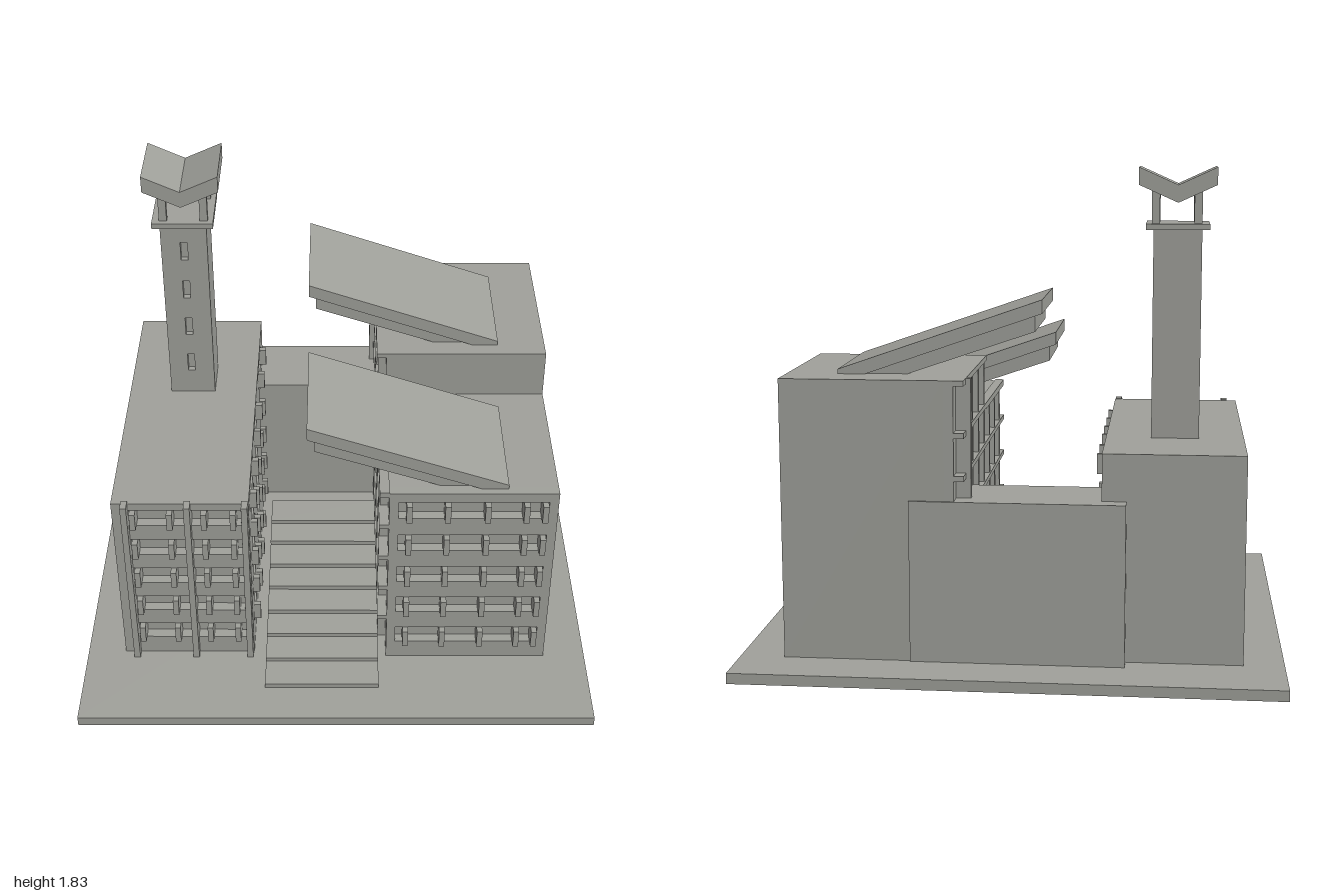
import * as THREE from 'three';

export function createModel() {
  const root = new THREE.Group();
  const concrete = new THREE.MeshStandardMaterial({ color: 0xa0a19b });
  concrete.name = 'concrete grey';

  const add = (parent, name, geometry) => {
    const mesh = new THREE.Mesh(geometry, concrete);
    mesh.name = name;
    parent.add(mesh);
    return mesh;
  };
  // box given by its limits
  const block = (parent, name, x0, x1, y0, y1, z0, z1) => {
    const mesh = add(parent, name, new THREE.BoxGeometry(x1 - x0, y1 - y0, z1 - z0));
    mesh.position.set((x0 + x1) / 2, (y0 + y1) / 2, (z0 + z1) / 2);
    return mesh;
  };
  // side profile extruded between z0 and z1
  const prism = (parent, name, points, z0, z1) => {
    const shape = new THREE.Shape(points.map(p => new THREE.Vector2(...p)));
    const mesh = add(parent, name, new THREE.ExtrudeGeometry(shape, { depth: z1 - z0, bevelEnabled: false }));
    mesh.position.z = z0;
    return mesh;
  };
  // wall whose outer face is local z = 0, with window openings and fins in each row
  const facade = (name, { x0, x1, y0, y1, depth, rows, bays, fins = [], out = 0.03 }) => {
    const group = new THREE.Group();
    group.name = name;
    const rect = (a, b, c, d) => [[a, c], [b, c], [b, d], [a, d]].map(p => new THREE.Vector2(...p));
    const shape = new THREE.Shape(rect(x0, x1, y0, y1));
    for (const [r0, r1] of rows) {
      for (const [b0, b1] of bays) shape.holes.push(new THREE.Path(rect(b0, b1, r0, r1)));
      for (const f of fins) block(group, 'windowFin', f - 0.011, f + 0.011, r0, r1, -depth, out);
    }
    const wall = add(group, 'wall', new THREE.ExtrudeGeometry(shape, { depth, bevelEnabled: false }));
    wall.position.z = -depth;
    root.add(group);
    return group;
  };
  const makeRows = (start, height, step, count) =>
    Array.from({ length: count }, (_, i) => [start + i * step, start + i * step + height]);

  block(root, 'base', -1, 1, 0, 0.04, -0.935, 0.93);

  // Left wing
  block(root, 'leftWingCore', -0.85, -0.37, 0.04, 0.815, -0.68, 0.53);
  const leftRows = makeRows(0.122, 0.075, 0.1465, 5);
  const leftFront = facade('leftWingFront', {
    x0: -0.85, x1: -0.33, y0: 0.04, y1: 0.815, depth: 0.04, rows: leftRows,
    bays: [[-0.79, -0.575], [-0.55, -0.36]], fins: [-0.77, -0.63, -0.5, -0.39]
  });
  leftFront.position.z = 0.57;
  for (const x of [-0.8, -0.562, -0.345])
    block(root, 'leftWingPillar', x - 0.012, x + 0.012, 0.04, 0.82, 0.56, 0.605);
  const leftSide = facade('leftWingCourtSide', {
    x0: -0.53, x1: 0.68, y0: 0.04, y1: 0.815, depth: 0.04, rows: leftRows,
    bays: [[-0.49, -0.22], [-0.1, 0.15], [0.3, 0.55]],
    fins: [-0.455, -0.26, -0.065, 0.11, 0.335, 0.51], out: 0.025
  });
  leftSide.rotation.y = Math.PI / 2;
  leftSide.position.x = -0.33;

  // Tower with slit windows
  block(root, 'towerShaft', -0.68, -0.5, 0.815, 1.6, -0.35, -0.18);
  const towerFront = facade('towerFront', {
    x0: -0.68, x1: -0.5, y0: 0.815, y1: 1.6, depth: 0.025,
    rows: makeRows(0.92, 0.08, 0.175, 4), bays: [[-0.605, -0.577]]
  });
  towerFront.position.z = -0.155;
  block(root, 'towerCap', -0.708, -0.472, 1.6, 1.622, -0.378, -0.128);
  for (const x of [-0.665, -0.508])
    for (const z of [-0.166, -0.338])
      block(root, 'towerPost', x - 0.015, x + 0.015, 1.62, 1.745, z - 0.015, z + 0.015);
  prism(root, 'towerRoof', [[-0.733, 1.83], [-0.733, 1.765], [-0.59, 1.7], [-0.445, 1.765],
    [-0.445, 1.83], [-0.59, 1.765]], -0.395, -0.115);

  // Rear link between the wings
  block(root, 'rearLink', -0.42, 0.365, 0.04, 0.64, -0.743, -0.44);

  // Courtyard steps
  const treads = [0.77, 0.645, 0.525, 0.41, 0.285, 0.17, 0.045, -0.07];
  treads.forEach((z, i) =>
    block(root, 'step', -0.28, 0.168, 0.04 + i * 0.0182, 0.04 + (i + 1) * 0.0182, -0.205, z));

  // Right wing in two heights
  block(root, 'rightWingFrontCore', 0.235, 0.835, 0.04, 0.885, -0.04, 0.555);
  block(root, 'rightWingRearCore', 0.235, 0.835, 0.04, 1.08, -0.735, -0.04);
  const rightFront = facade('rightWingFront', {
    x0: 0.2, x1: 0.835, y0: 0.04, y1: 0.885, depth: 0.04, rows: makeRows(0.122, 0.078, 0.161, 5),
    bays: [[0.235, 0.8]], fins: [0.275, 0.42, 0.57, 0.715, 0.785]
  });
  rightFront.position.z = 0.595;

  // Court side of the right wing: recessed windows, ledges and posts
  const courtBays = Array.from({ length: 6 }, (_, i) => [-0.59 + i * 0.18, -0.46 + i * 0.18]);
  const lower = facade('rightWingCourtSide', {
    x0: -0.735, x1: 0.555, y0: 0.04, y1: 0.885, depth: 0.035,
    rows: makeRows(0.122, 0.11, 0.157, 5), bays: courtBays
  });
  const upper = facade('rightWingUpperCourtSide', {
    x0: -0.735, x1: -0.04, y0: 0.885, y1: 1.08, depth: 0.035,
    rows: [[0.915, 1.01]], bays: courtBays.slice(0, 3)
  });
  for (const side of [lower, upper]) {
    side.rotation.y = -Math.PI / 2;
    side.position.x = 0.2;
  }
  for (let i = 0; i < 5; i++)
    block(root, 'courtLedge', 0.163, 0.2, 0.242 + i * 0.157, 0.262 + i * 0.157, -0.735, 0.595);
  for (let i = 0; i < 7; i++) {
    const z = -0.615 + i * 0.18;
    block(root, 'courtPost', 0.168, 0.2, 0.04, z < -0.04 ? 1.06 : 0.87, z - 0.014, z + 0.014);
  }
  block(root, 'frontRoofEdge', 0.163, 0.2, 0.865, 0.885, -0.04, 0.595);
  block(root, 'rearRoofEdge', 0.163, 0.2, 1.06, 1.08, -0.735, -0.04);
  block(root, 'rearColumn', 0.145, 0.2, 0.04, 1.08, -0.67, -0.642);

  // Sloping roof canopies, each a slab over a thicker inner layer
  for (const [y, z0, z1] of [[0.885, 0.07, 0.565], [1.08, -0.595, -0.105]]) {
    prism(root, 'canopySlab', [[-0.107, y + 0.228], [0.545, y], [0.647, y],
      [0.647, y + 0.017], [-0.107, y + 0.279]], z0, z1);
    prism(root, 'canopyUnderside', [[-0.08, y + 0.16], [0.39, y], [0.545, y],
      [-0.08, y + 0.219]], z0 + 0.02, z1 - 0.02);
  }
  return root;
}
